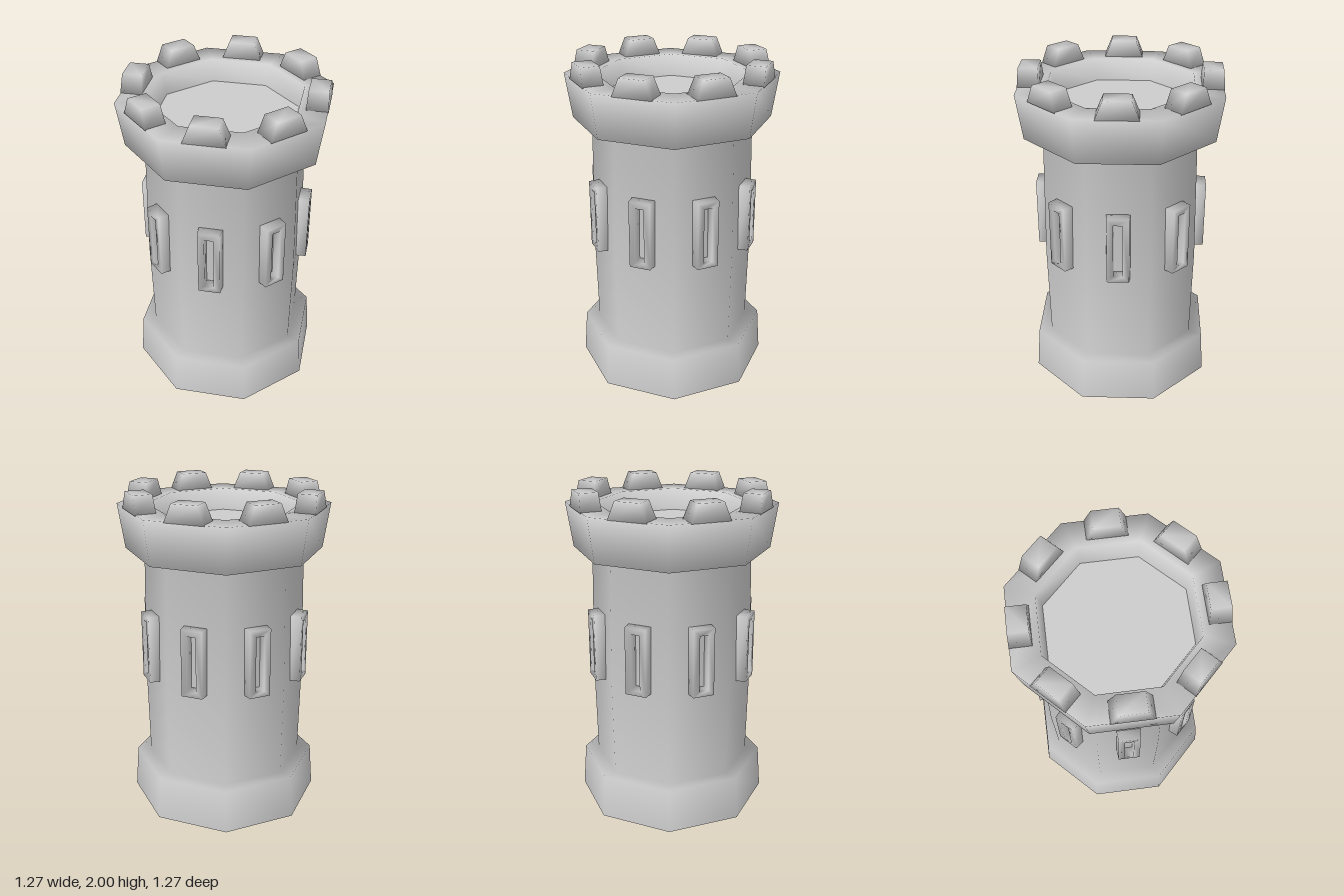
import * as THREE from 'three';
import { mergeVertices } from 'three/addons/utils/BufferGeometryUtils.js';

const SIDES = 8;

// Shares corner vertices so the shading rolls softly over the edges
function soften(geometry) {
  geometry.deleteAttribute('normal');
  geometry.deleteAttribute('uv');
  geometry.clearGroups();
  const merged = mergeVertices(geometry, 1e-4);
  merged.computeVertexNormals();
  return merged;
}

// Block that narrows towards its top, standing on y = 0
function merlonGeometry(width, topWidth, height, depth, topDepth) {
  const geometry = new THREE.BoxGeometry(width, height, depth).translate(0, height / 2, 0);
  const p = geometry.attributes.position;
  for (let i = 0; i < p.count; i++) {
    if (p.getY(i) > height / 2) {
      p.setX(i, p.getX(i) * topWidth / width);
      p.setZ(i, p.getZ(i) * topDepth / depth);
    }
  }
  return soften(geometry);
}

function rectangle(path, hw, hh) {
  path.moveTo(-hw, -hh);
  path.lineTo(hw, -hh);
  path.lineTo(hw, hh);
  path.lineTo(-hw, hh);
  path.closePath();
  return path;
}

// Raised surround with a slit through it, slightly narrower at the front
function frameGeometry(depth) {
  const shape = rectangle(new THREE.Shape(), 0.071, 0.208);
  shape.holes.push(rectangle(new THREE.Path(), 0.027, 0.17));
  const geometry = new THREE.ExtrudeGeometry(shape, { depth, bevelEnabled: false });
  const p = geometry.attributes.position;
  for (let i = 0; i < p.count; i++) {
    if (p.getZ(i) > depth / 2 && Math.abs(p.getX(i)) > 0.05) p.setX(i, p.getX(i) * 0.92);
  }
  return soften(geometry);
}

export function createModel() {
  const tower = new THREE.Group();
  tower.name = 'tower';
  const stone = new THREE.MeshStandardMaterial({ color: 0xcccccc, side: THREE.DoubleSide });
  stone.name = 'stone';

  const add = (name, geometry, parent = tower) => {
    const mesh = new THREE.Mesh(geometry, stone);
    mesh.name = name;
    parent.add(mesh);
    return mesh;
  };

  // Hollow octagonal shell: plinth, ledge, shaft, overhanging crown and inner parapet
  const profile = [
    [0.59, 0], [0.57, 0.27], [0.485, 0.27], [0.496, 0.86], [0.481, 1.63],
    [0.594, 1.63], [0.635, 1.9], [0.46, 1.9], [0.43, 1.77],
  ].map(([r, y]) => new THREE.Vector2(r, y));
  add('walls', new THREE.LatheGeometry(profile, SIDES));

  // Roof deck inside the parapet
  add('deck', new THREE.CircleGeometry(0.43, SIDES).rotateX(-Math.PI / 2).translate(0, 1.77, 0));

  // One merlon and one slit window on each wall
  const merlon = merlonGeometry(0.237, 0.153, 0.105, 0.125, 0.113);
  const frame = frameGeometry(0.072);
  for (let i = 0; i < SIDES; i++) {
    const side = new THREE.Group();
    side.name = 'side' + (i + 1);
    side.rotation.y = (i + 0.5) * Math.PI * 2 / SIDES;
    add('merlon', merlon, side).position.set(0, 1.895, 0.527);
    add('windowFrame', frame, side).position.set(0, 1.063, 0.446);
    tower.add(side);
  }
  return tower;
}
